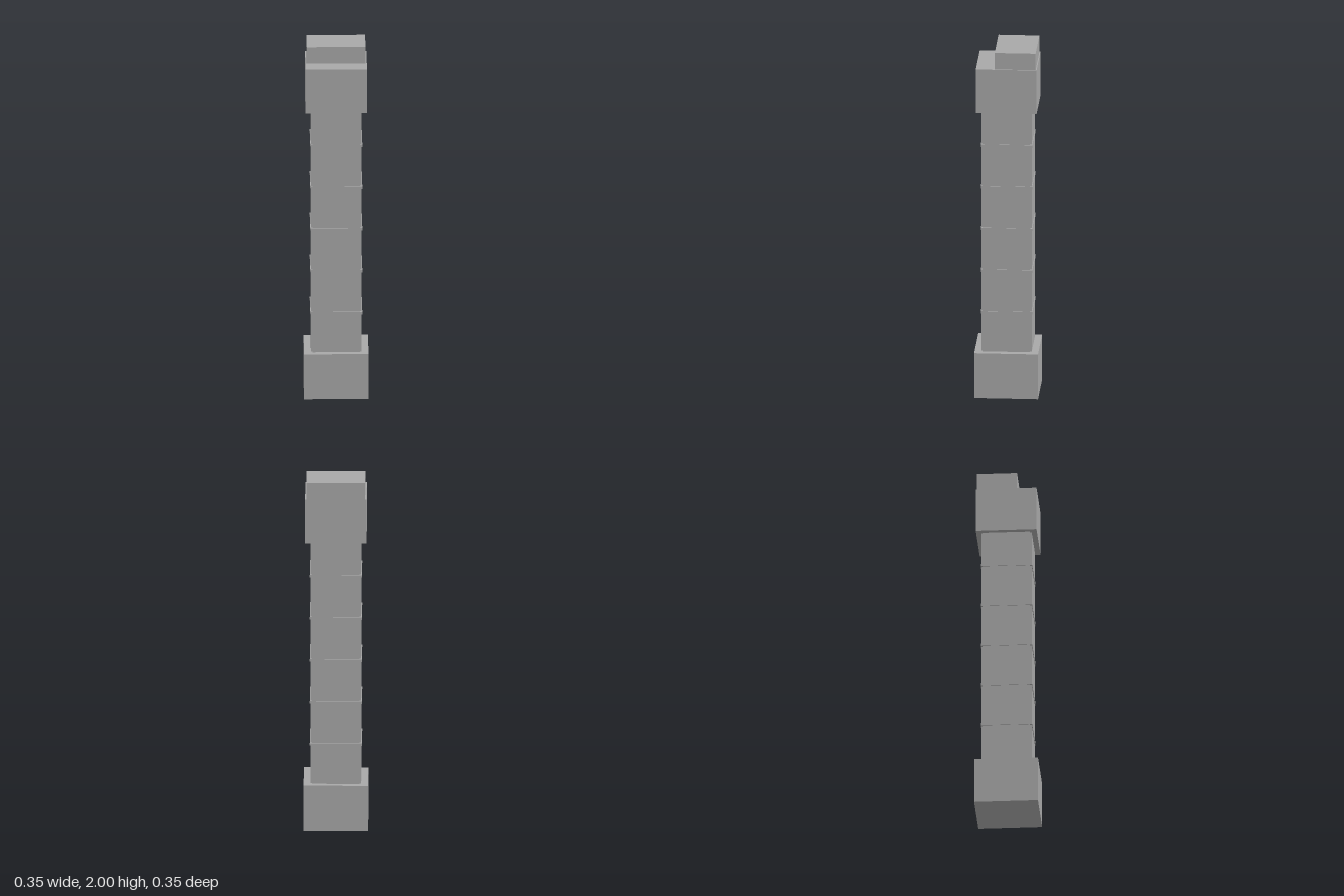
import * as THREE from 'three';

export function createModel() {
  const model = new THREE.Group();
  model.name = 'tower';
  const concrete = new THREE.MeshStandardMaterial({ color: 0xa8a8a8 });
  concrete.name = 'concrete grey';

  // Box given by its width, depth, bottom and top heights
  const block = (name, width, depth, bottom, top, z = 0) => {
    const mesh = new THREE.Mesh(new THREE.BoxGeometry(width, top - bottom, depth), concrete);
    mesh.name = name;
    mesh.position.set(0, (bottom + top) / 2, z);
    model.add(mesh);
  };

  const baseTop = 0.26, capBottom = 1.652, capTop = 1.905;

  block('base', 0.355, 0.355, 0, baseTop);

  // Square shaft with a small notch running up each corner
  const a = 0.13, b = 0.14;
  const section = new THREE.Shape([
    [b, -a], [b, a], [a, a], [a, b], [-a, b], [-a, a],
    [-b, a], [-b, -a], [-a, -a], [-a, -b], [a, -b], [a, -a],
  ].map(([x, y]) => new THREE.Vector2(x, y)));
  const shaftGeometry = new THREE.ExtrudeGeometry(section, { depth: capBottom - baseTop, bevelEnabled: false });
  shaftGeometry.rotateX(-Math.PI / 2);
  const shaft = new THREE.Mesh(shaftGeometry, concrete);
  shaft.name = 'shaft';
  shaft.position.y = baseTop;
  model.add(shaft);

  // Thin storey bands
  for (let i = 0; i < 5; i++) {
    const y = 0.487 + i * 0.242;
    block(`band${i + 1}`, 0.287, 0.287, y - 0.007, y + 0.007);
  }

  // Overhanging head and the smaller roof block set to the back
  block('head', 0.338, 0.338, capBottom, capTop);
  block('roofBlock', 0.324, 0.225, capTop, 2, -0.051);

  return model;
}
